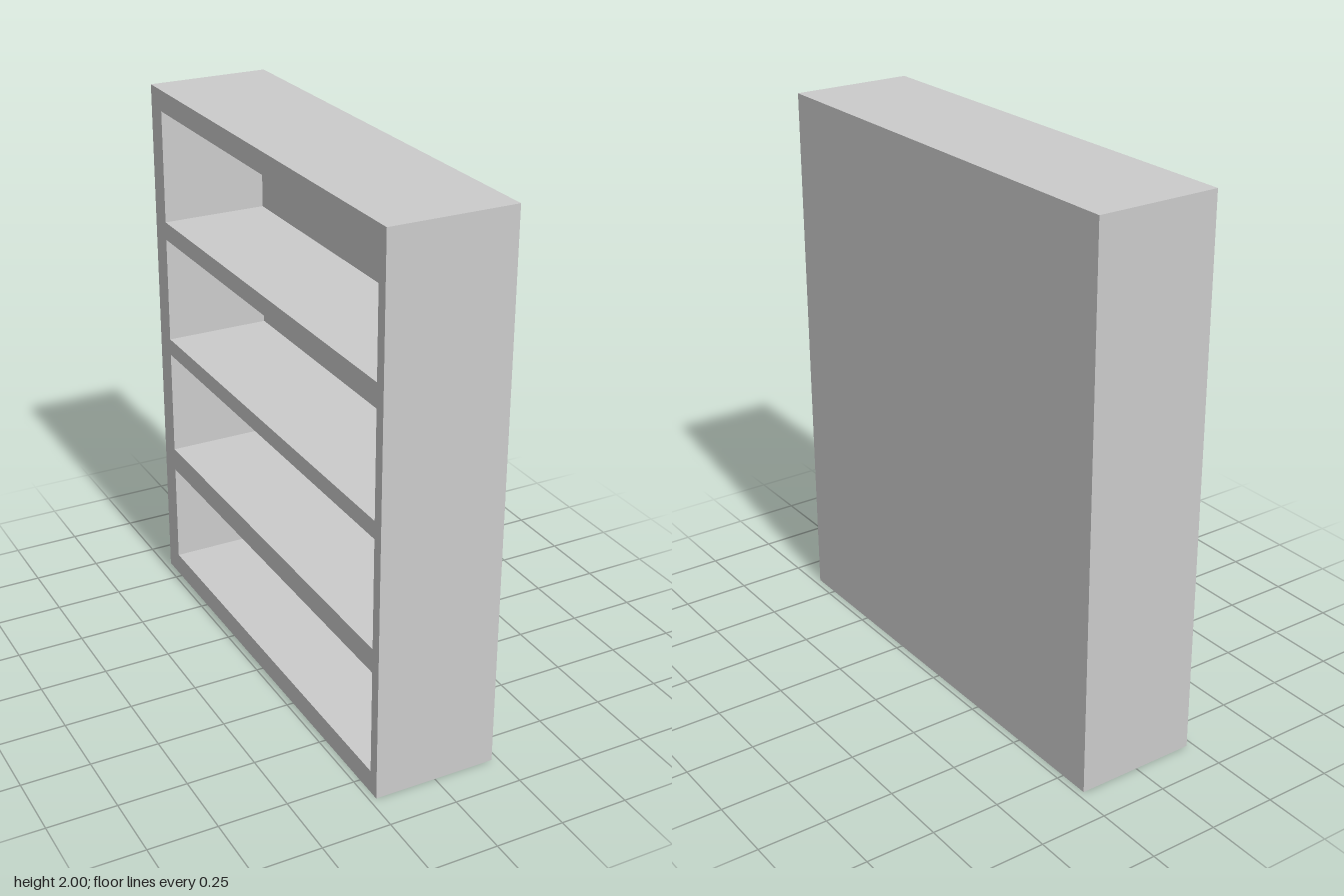
import * as THREE from 'three';

const WIDTH = 1.724, HEIGHT = 2, DEPTH = 0.452, BACK = 0.054;
// Compartments: [floor, ceiling]
const BAYS = [[0.084, 0.474], [0.563, 0.968], [1.032, 1.434], [1.502, 1.922]];
// Inner faces of the two side walls, along z
const BAY_Z = [-0.774, 0.821];

// Rectangle in the z-y plane, added as a shape or a hole
function rectangle(path, z0, z1, y0, y1) {
  path.moveTo(-z1, y0);
  path.lineTo(-z0, y0);
  path.lineTo(-z0, y1);
  path.lineTo(-z1, y1);
  path.closePath();
  return path;
}

export function createModel() {
  const group = new THREE.Group();
  group.name = 'bookcase';
  const material = new THREE.MeshStandardMaterial({ color: 0xcccccc });

  // Side walls, top, base and shelves as one frame, open towards -x
  const outline = rectangle(new THREE.Shape(), -WIDTH / 2, WIDTH / 2, 0, HEIGHT);
  for (const [floor, ceiling] of BAYS) {
    outline.holes.push(rectangle(new THREE.Path(), BAY_Z[0], BAY_Z[1], floor, ceiling));
  }
  const frameGeometry = new THREE.ExtrudeGeometry(outline, { depth: DEPTH - BACK, bevelEnabled: false });
  frameGeometry.rotateY(Math.PI / 2);
  frameGeometry.translate(-DEPTH / 2, 0, 0);
  const frame = new THREE.Mesh(frameGeometry, material);
  frame.name = 'shelfFrame';
  group.add(frame);

  // Closed panel behind the shelves
  const back = new THREE.Mesh(new THREE.BoxGeometry(BACK, HEIGHT, WIDTH), material);
  back.name = 'backPanel';
  back.position.set(DEPTH / 2 - BACK / 2, HEIGHT / 2, 0);
  group.add(back);

  return group;
}
